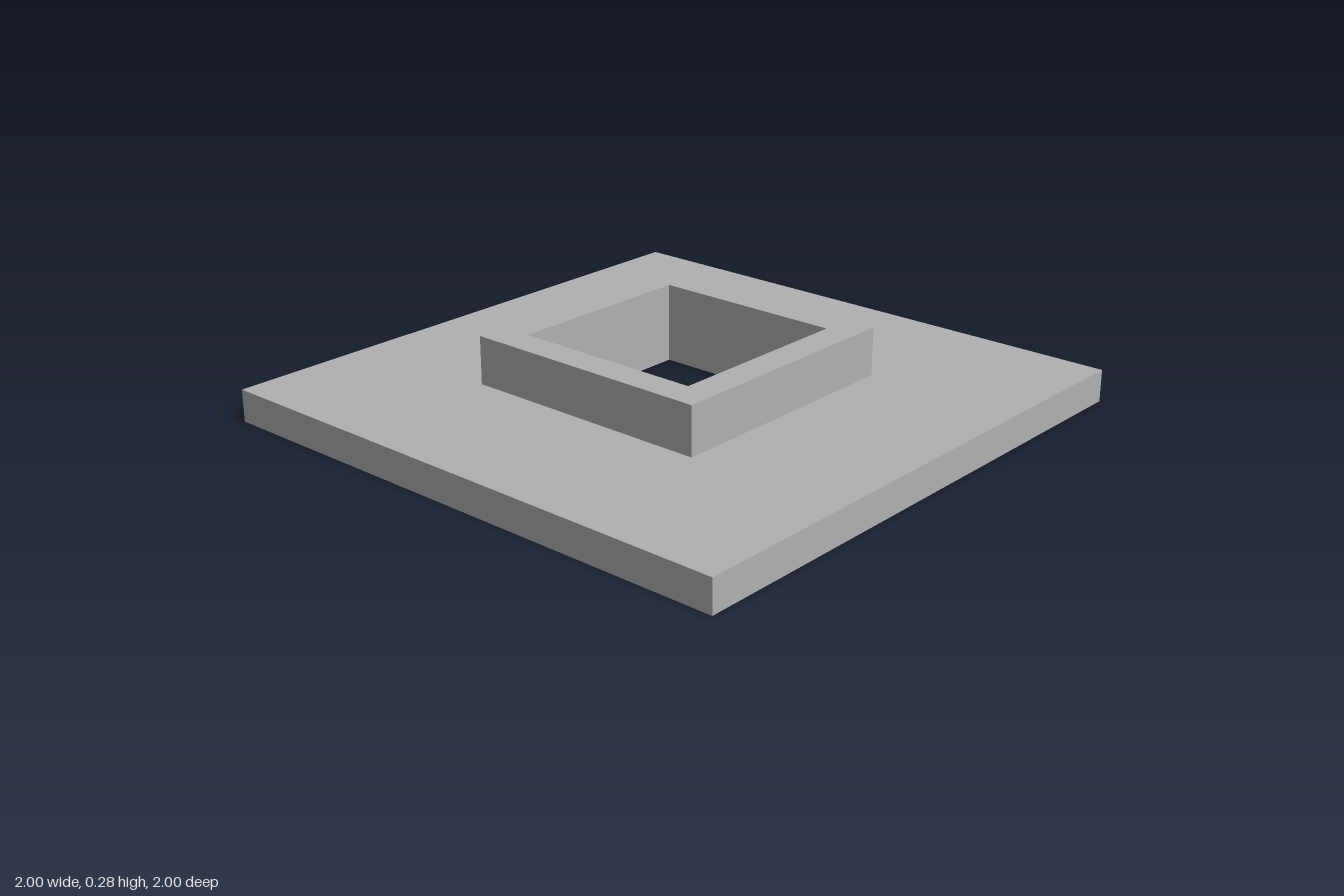
import * as THREE from 'three';

const HOLE = 0.344; // half width of the square opening

function square(PathType, h) {
  return new PathType([
    new THREE.Vector2(-h, -h),
    new THREE.Vector2(h, -h),
    new THREE.Vector2(h, h),
    new THREE.Vector2(-h, h),
  ]);
}

// Square slab with the square opening, standing between two heights
function frame(name, half, bottom, top, material) {
  const shape = square(THREE.Shape, half);
  shape.holes.push(square(THREE.Path, HOLE));
  const geometry = new THREE.ExtrudeGeometry(shape, { depth: top - bottom, bevelEnabled: false });
  geometry.rotateX(-Math.PI / 2);
  const mesh = new THREE.Mesh(geometry, material);
  mesh.position.y = bottom;
  mesh.name = name;
  return mesh;
}

export function createModel() {
  const grey = new THREE.MeshStandardMaterial({ color: 0xb0b0b0 });
  grey.name = 'grey';

  const model = new THREE.Group();
  model.name = 'flangedSquareCollar';
  model.add(
    frame('basePlate', 1, 0, 0.112, grey),
    frame('raisedCollar', 0.453, 0.112, 0.279, grey),
  );
  return model;
}
